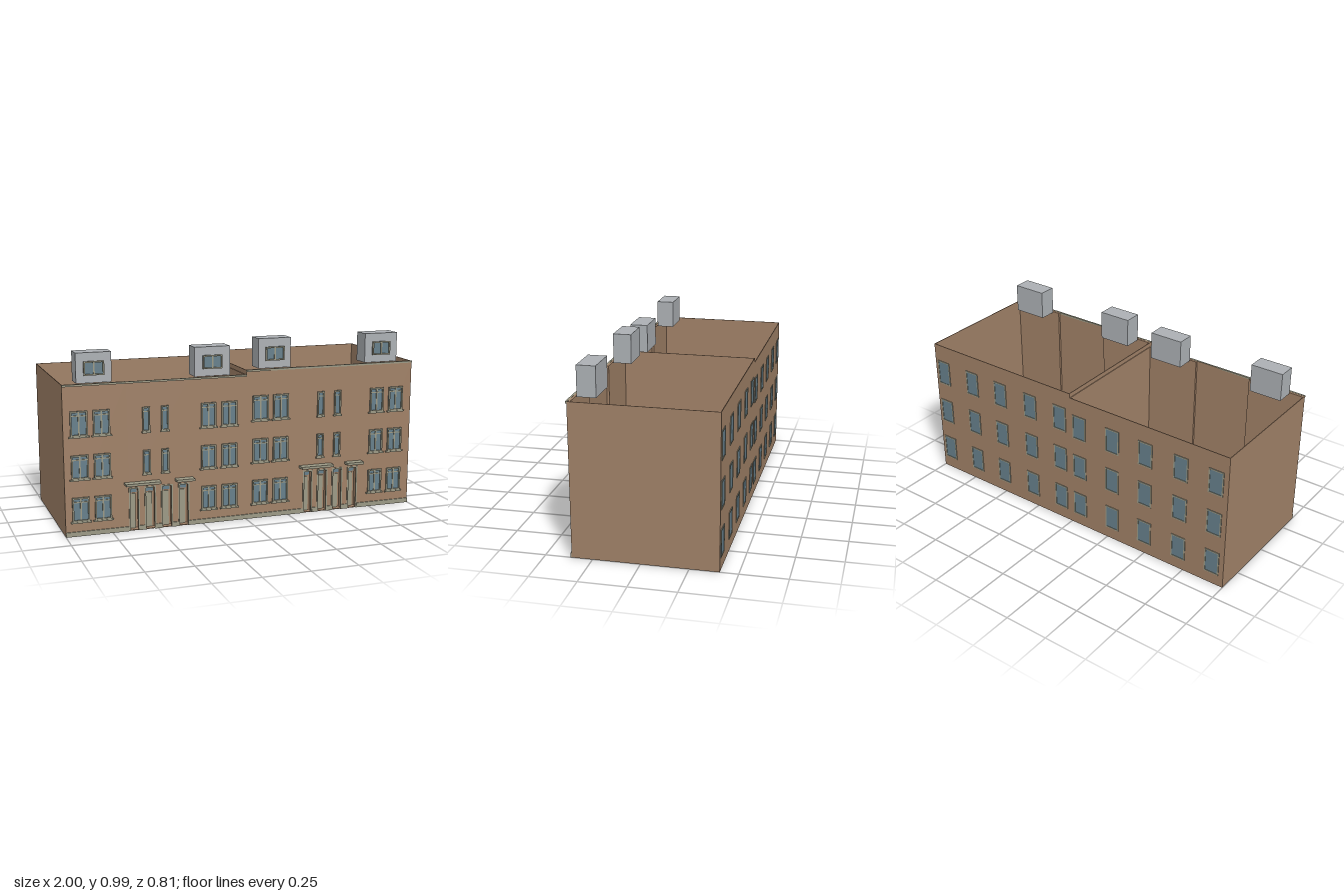
import * as THREE from 'three';

const mat = (name, color) => {
  const m = new THREE.MeshStandardMaterial({ color });
  m.name = name;
  return m;
};
const brick = mat('brick', 0xa08167);
const trim = mat('stone trim', 0x9b9985);
const glass = mat('window glass', 0x667f8b);
const dormerGrey = mat('dormer grey', 0xacb0b4);

const BACK = -0.405, FRONT = 0.36, H = 0.805;

// Box given by its limits on each axis
function box(parent, name, material, x0, x1, y0, y1, z0, z1) {
  const mesh = new THREE.Mesh(new THREE.BoxGeometry(x1 - x0, y1 - y0, z1 - z0), material);
  mesh.position.set((x0 + x1) / 2, (y0 + y1) / 2, (z0 + z1) / 2);
  mesh.name = name;
  parent.add(mesh);
  return mesh;
}

// Rectangular ring, used for window and door surrounds
function surround(parent, name, x0, x1, y0, y1, z0, z1, t) {
  const s = new THREE.Shape();
  s.moveTo(x0, y0).lineTo(x1, y0).lineTo(x1, y1).lineTo(x0, y1).closePath();
  const h = new THREE.Path();
  h.moveTo(x0 + t, y0 + t).lineTo(x0 + t, y1 - t).lineTo(x1 - t, y1 - t).lineTo(x1 - t, y0 + t).closePath();
  s.holes.push(h);
  const mesh = new THREE.Mesh(new THREE.ExtrudeGeometry(s, { depth: z1 - z0, bevelEnabled: false }), trim);
  mesh.position.z = z0;
  mesh.name = name;
  parent.add(mesh);
}

// Front window: glass, surround, glazing bars and sill
function frontWindow(parent, x0, x1, y0, y1) {
  const g = new THREE.Group();
  g.name = 'frontWindow';
  const wide = x1 - x0 > 0.06;
  box(g, 'glass', glass, x0, x1, y0, y1, FRONT - 0.002, FRONT + 0.002);
  surround(g, 'surround', x0, x1, y0, y1, FRONT, FRONT + 0.01, wide ? 0.008 : 0.007);
  box(g, 'transom', trim, x0, x1, y1 - 0.028, y1 - 0.022, FRONT, FRONT + 0.006);
  if (wide) {
    const c = (x0 + x1) / 2;
    box(g, 'mullion', trim, c - 0.004, c + 0.004, y0, y1, FRONT, FRONT + 0.006);
  }
  const o = wide ? 0.009 : 0.004;
  box(g, 'sill', trim, x0 - o, x1 + o, y0 - 0.008, y0, FRONT, FRONT + 0.012);
  parent.add(g);
}

// Recessed door with glazed transom
function door(parent, x0, x1, top) {
  const g = new THREE.Group();
  g.name = 'door';
  const back = 0.32;
  box(g, 'recessBack', brick, x0, x1, 0, top, back, back + 0.003);
  box(g, 'recessSide', brick, x0 - 0.003, x0, 0, top, back, 0.356);
  box(g, 'recessSide', brick, x1, x1 + 0.003, 0, top, back, 0.356);
  box(g, 'recessTop', brick, x0 - 0.003, x1 + 0.003, top, top + 0.003, back, 0.356);
  box(g, 'doorLeaf', trim, x0 + 0.013, x1 - 0.013, 0.004, top - 0.04, back + 0.003, back + 0.01);
  box(g, 'transomGlass', glass, x0 + 0.006, x1 - 0.006, top - 0.033, top - 0.008, back + 0.003, back + 0.008);
  for (const [a, b] of [[x0 - 0.002, x0 + 0.006], [x1 - 0.006, x1 + 0.002]])
    box(g, 'doorJamb', trim, a, b, 0, top, FRONT - 0.004, FRONT + 0.004);
  box(g, 'doorHead', trim, x0 - 0.002, x1 + 0.002, top - 0.006, top + 0.002, FRONT - 0.004, FRONT + 0.004);
  parent.add(g);
}

function dormer(parent, x0, x1) {
  const g = new THREE.Group();
  g.name = 'dormer';
  box(g, 'dormerBody', dormerGrey, x0, x1, H, 0.963, 0.235, 0.335);
  const c = (x0 + x1) / 2, a = c - 0.054, b = c + 0.054;
  box(g, 'dormerGlass', glass, a, b, 0.845, 0.918, 0.334, 0.338);
  surround(g, 'dormerFrame', a, b, 0.845, 0.918, 0.335, 0.346, 0.007);
  box(g, 'dormerMullion', trim, c - 0.004, c + 0.004, 0.845, 0.918, 0.335, 0.344);
  parent.add(g);
}

function backWindow(parent, c, y0, y1) {
  const g = new THREE.Group();
  g.name = 'backWindow';
  const a = c - 0.044, b = c + 0.044;
  box(g, 'glass', glass, a, b, y0, y1, BACK - 0.0015, BACK + 0.001);
  surround(g, 'surround', a, b, y0, y1, BACK - 0.004, BACK, 0.007);
  parent.add(g);
}

// One house spanning x = -1 to 0, open at the top
function house() {
  const g = new THREE.Group();
  const t = 0.004;
  box(g, 'floor', brick, -1, 0, 0, t, BACK, FRONT);
  box(g, 'backWall', brick, -1, 0, 0, H, BACK, BACK + t);
  box(g, 'sideWall', brick, -1, -1 + t, 0, H, BACK, FRONT);
  box(g, 'partyWall', brick, -t, 0, 0, H, BACK, FRONT);

  // Thick outer bays and a thin entrance bay with door openings
  const bay0 = -0.665, bay1 = -0.32, top = 0.235;
  box(g, 'frontBay', brick, -1, bay0, 0, H, 0.343, FRONT);
  box(g, 'frontBay', brick, bay1, 0, 0, H, 0.343, FRONT);
  const doors = [[-0.658, -0.604], [-0.572, -0.513], [-0.481, -0.42], [-0.385, -0.327]];
  const s = new THREE.Shape();
  s.moveTo(bay0, 0);
  for (const [a, b] of doors) s.lineTo(a, 0).lineTo(a, top).lineTo(b, top).lineTo(b, 0);
  s.lineTo(bay1, 0).lineTo(bay1, H).lineTo(bay0, H).closePath();
  const bay = new THREE.Mesh(new THREE.ExtrudeGeometry(s, { depth: 0.004, bevelEnabled: false }), brick);
  bay.position.z = FRONT - 0.004;
  bay.name = 'entranceBay';
  g.add(bay);
  for (const [a, b] of doors) door(g, a, b, top);

  // Plinth between the doors, cornice and canopies
  const stops = [-1, ...doors.flat(), 0];
  for (let i = 0; i < stops.length; i += 2)
    box(g, 'plinth', trim, stops[i], stops[i + 1], 0, 0.025, FRONT - 0.002, FRONT + 0.006);
  box(g, 'cornice', trim, -1, 0, H - 0.009, H + 0.001, FRONT - 0.004, FRONT + 0.007);
  for (const [a, b] of [[-0.684, -0.492], [-0.406, -0.305]])
    box(g, 'canopy', trim, a, b, 0.254, 0.267, FRONT, 0.405);

  // Front windows on three floors
  for (const [y0, y1] of [[0.08, 0.209], [0.308, 0.435], [0.535, 0.667]])
    for (const [a, b] of [[-0.963, -0.872], [-0.843, -0.754], [-0.257, -0.174], [-0.141, -0.053]])
      frontWindow(g, a, b, y0, y1);
  for (const [y0, y1] of [[0.308, 0.435], [0.535, 0.667]])
    for (const [a, b] of [[-0.58, -0.54], [-0.478, -0.438]])
      frontWindow(g, a, b, y0, y1);

  // Rear windows
  for (const [y0, y1] of [[0.067, 0.21], [0.315, 0.458], [0.563, 0.708]])
    for (const c of [-0.927, -0.717, -0.497, -0.283, -0.062]) backWindow(g, c, y0, y1);

  dormer(g, -0.92, -0.733);
  dormer(g, -0.283, -0.085);
  return g;
}

export function createModel() {
  const model = new THREE.Group();
  model.name = 'terracedBuilding';
  const right = house();
  right.name = 'lowerHouse';
  const left = house();
  left.name = 'tallerHouse';
  left.position.x = 1;
  left.scale.y = 1.031;
  model.add(right, left);
  return model;
}
